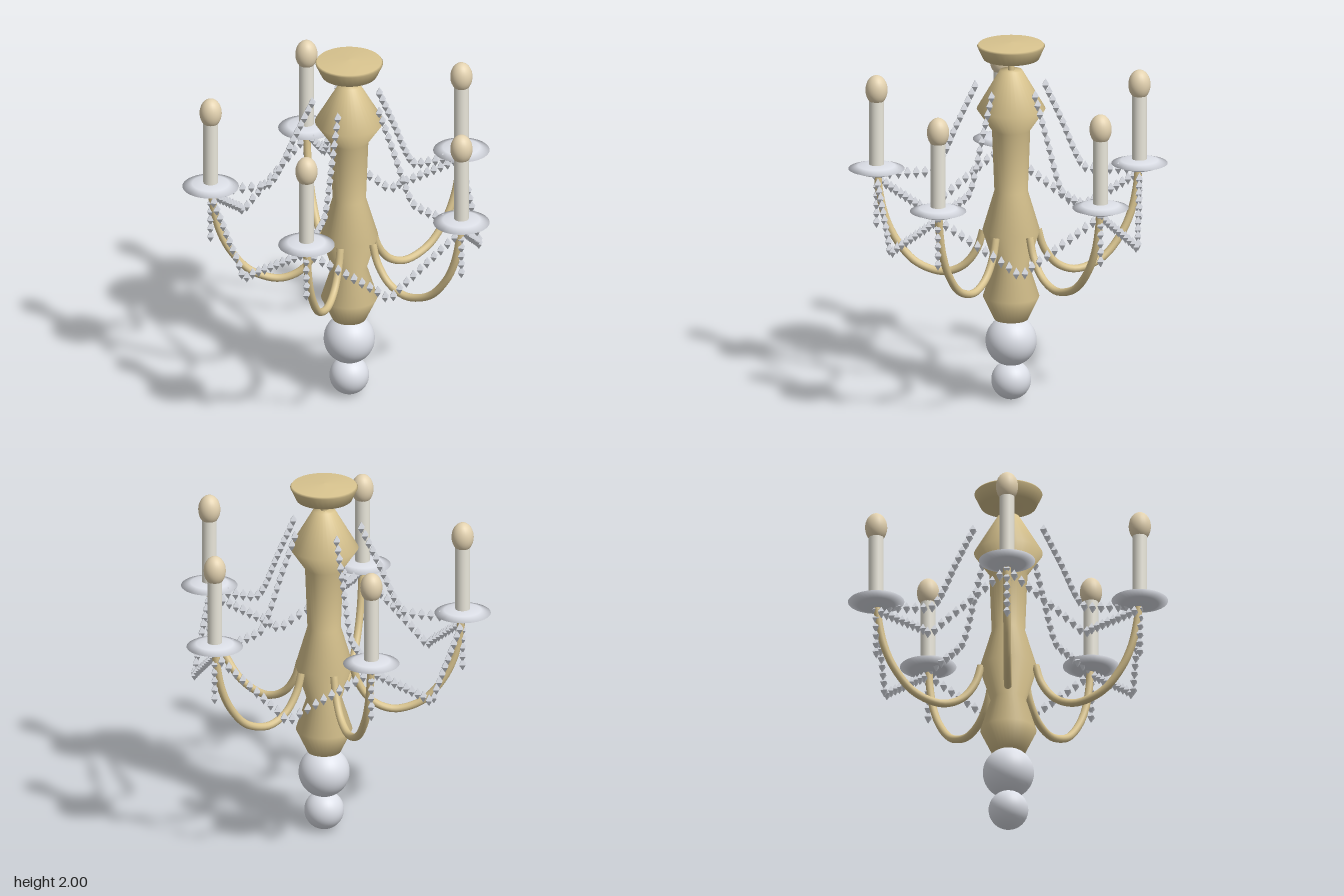
import * as THREE from 'three';
import { mergeGeometries } from 'three/addons/utils/BufferGeometryUtils.js';

const ARMS = 5, REACH = 0.745, STEP = (Math.PI * 2) / ARMS;
const gold = new THREE.MeshStandardMaterial({ color: 0xd9c48f });
const glass = new THREE.MeshStandardMaterial({ color: 0xdde0e8 });
const wax = new THREE.MeshStandardMaterial({ color: 0xe9e6da });
const bulbCream = new THREE.MeshStandardMaterial({ color: 0xe3d2b0 });
const crystal = new THREE.MeshStandardMaterial({ color: 0xd4d7de, flatShading: true });

function add(parent, name, geometry, material, y = 0) {
  const mesh = new THREE.Mesh(geometry, material);
  mesh.name = name;
  mesh.position.y = y;
  parent.add(mesh);
  return mesh;
}

const lathe = (profile) =>
  new THREE.LatheGeometry(profile.map(([r, y]) => new THREE.Vector2(r, y)), 36);

// Point at a given radius, height and angle round the stem
const polar = (r, y, a) => new THREE.Vector3(r * Math.cos(a), y, r * Math.sin(a));

// Upright faceted beads spaced evenly along a curve
function beadStrand(points, count) {
  const curve = new THREE.CatmullRomCurve3(points);
  const beads = curve.getSpacedPoints(count - 1).map((p) =>
    new THREE.OctahedronGeometry(1).scale(0.024, 0.035, 0.024).translate(p.x, p.y, p.z));
  return mergeGeometries(beads);
}

export function createModel() {
  const model = new THREE.Group();
  model.name = 'chandelier';
  const body = new THREE.Group();
  body.name = 'chandelierBody';
  body.position.x = -0.075;
  model.add(body);

  // Ceiling canopy, rod and turned stem
  add(body, 'canopy', lathe([[0, 1.91], [0.15, 1.91], [0.183, 1.98], [0.175, 1.99], [0, 2]]), gold);
  add(body, 'rod', new THREE.CylinderGeometry(0.017, 0.017, 0.12, 16), gold, 1.87);
  add(body, 'stem', lathe([
    [0, 0.45], [0.09, 0.45], [0.152, 0.58], [0.095, 0.76], [0.155, 0.95],
    [0.09, 1.17], [0.103, 1.51], [0.185, 1.63], [0.06, 1.845], [0, 1.845],
  ]), gold);

  // Glass balls below the stem
  add(body, 'largeBall', new THREE.SphereGeometry(0.138, 32, 24), glass, 0.33);
  add(body, 'smallBall', new THREE.SphereGeometry(0.107, 32, 24), glass, 0.11);

  const armCurve = new THREE.CatmullRomCurve3([
    [0.155, 0.94], [0.185, 0.84], [0.25, 0.745], [0.325, 0.7], [0.4, 0.69],
    [0.533, 0.738], [0.638, 0.855], [0.698, 0.98], [0.73, 1.12], [0.74, 1.22],
  ].map(([r, y]) => new THREE.Vector3(r, y, 0)));
  const armGeometry = new THREE.TubeGeometry(armCurve, 40, 0.021, 12);
  const plateGeometry = lathe([
    [0, 1.2], [0.05, 1.203], [0.1, 1.22], [0.152, 1.24], [0.1, 1.257], [0.05, 1.264], [0, 1.264],
  ]);
  const candleGeometry = new THREE.CylinderGeometry(0.04, 0.04, 0.38, 20);
  const bulbGeometry = new THREE.SphereGeometry(1, 24, 18).scale(0.06, 0.082, 0.06);

  for (let i = 0; i < ARMS; i++) {
    const a = i * STEP, mid = a + STEP / 2;

    // Curved arm with its drip plate, candle and bulb
    const branch = new THREE.Group();
    branch.name = 'branch';
    branch.rotation.y = -a;
    body.add(branch);
    add(branch, 'arm', armGeometry, gold);
    add(branch, 'dripPlate', plateGeometry, glass).position.x = REACH;
    add(branch, 'candle', candleGeometry, wax, 1.44).position.x = REACH;
    add(branch, 'bulb', bulbGeometry, bulbCream, 1.68).position.x = REACH;

    // Strand from the top of the stem out to the plate
    const upper = [[0.2, 1.74], [0.3, 1.52], [0.385, 1.32], [0.43, 1.255], [0.52, 1.235], [0.72, 1.215]];
    add(body, 'upperStrand', beadStrand(upper.map(([r, y]) => polar(r, y, a)), 18), crystal);

    // Strand swagged between neighbouring plates
    const start = polar(REACH, 1.19, a), end = polar(REACH, 1.19, a + STEP);
    const low = polar(0.7, 0.9, mid);
    const swag = [
      start, start.clone().lerp(low, 0.45), start.clone().lerp(low, 0.85), low,
      end.clone().lerp(low, 0.85), end.clone().lerp(low, 0.45), end,
    ];
    add(body, 'swagStrand', beadStrand(swag, 22), crystal);

    // Short pendant hanging under the plate
    add(body, 'pendant', beadStrand([polar(REACH, 1.19, a), polar(REACH, 0.94, a)], 6), crystal);
  }
  return model;
}
